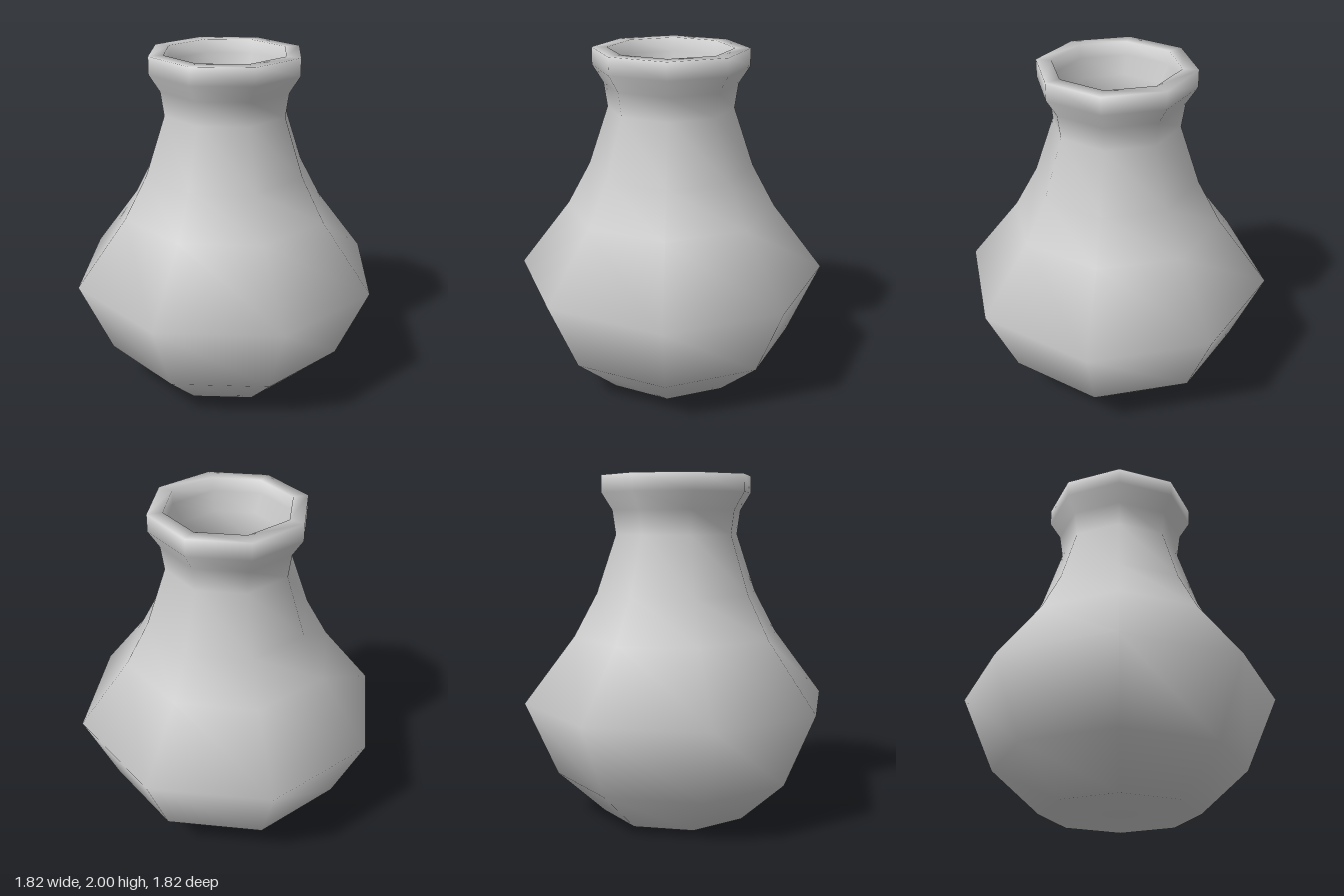
import * as THREE from 'three';

export function createModel() {
  const group = new THREE.Group();
  group.name = 'vase';

  // Closed wall profile [radius, height]: base, outside, rim, then inside down to the floor
  const outside = [
    [0, 0], [0.45, 0], [0.725, 0.25], [0.912, 0.68], [0.615, 1.07],
    [0.48, 1.32], [0.365, 1.66], [0.385, 1.8], [0.448, 1.9], [0.448, 2],
  ];
  const inside = [
    [0.36, 2], [0.36, 1.92], [0.305, 1.82], [0.28, 1.66], [0.395, 1.29],
    [0.54, 1.03], [0.81, 0.67], [0.65, 0.3], [0.41, 0.08], [0, 0.08],
  ];
  const profile = [...outside, ...inside].map(([r, y]) => new THREE.Vector2(r, y));

  // Eight-sided turned body with smooth normals
  const body = new THREE.Mesh(
    new THREE.LatheGeometry(profile, 8),
    new THREE.MeshStandardMaterial({ color: 0xcccccc })
  );
  body.name = 'vaseBody';
  group.add(body);
  return group;
}
